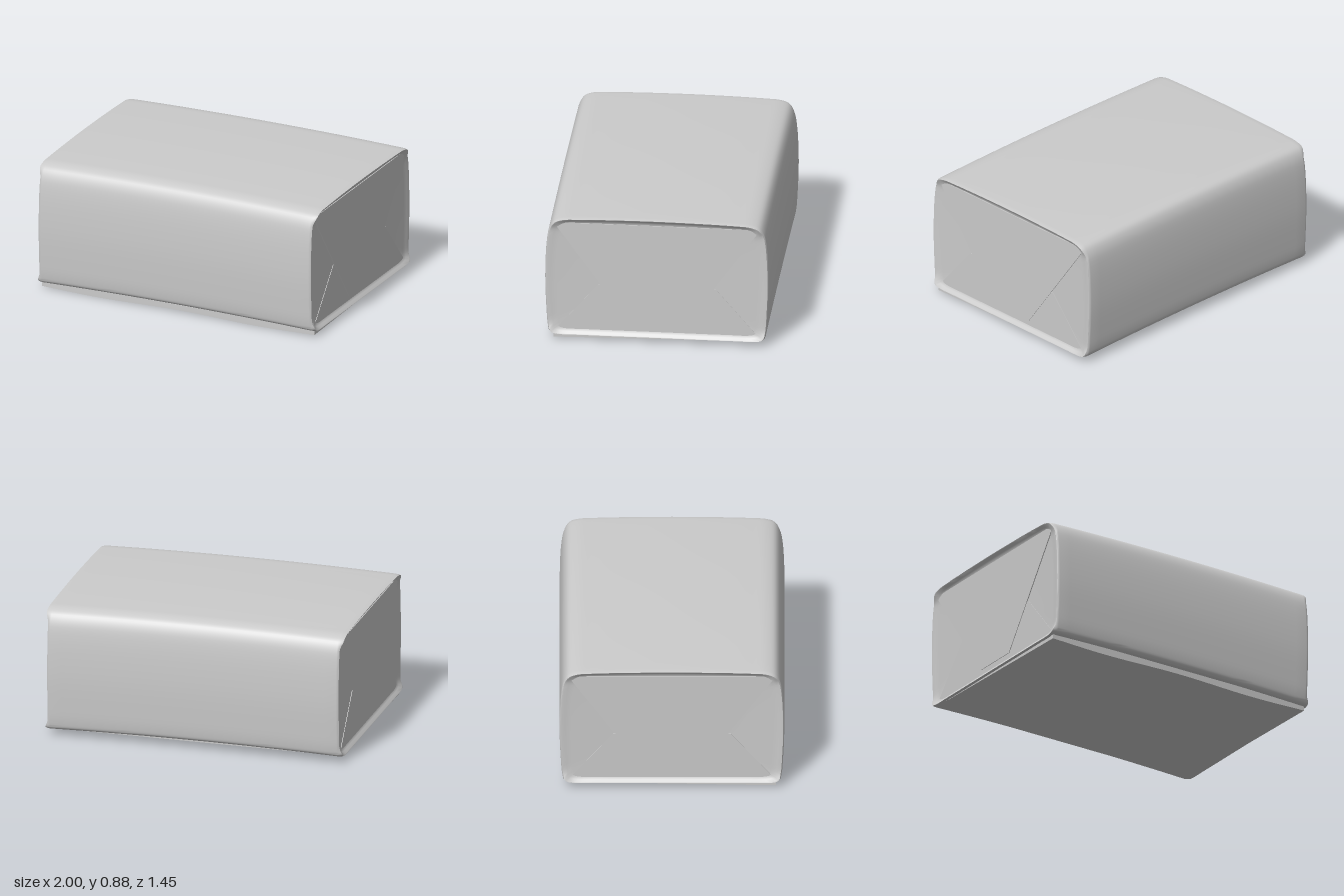
import * as THREE from 'three';
import { toCreasedNormals } from 'three/addons/utils/BufferGeometryUtils.js';

const material = new THREE.MeshStandardMaterial({ color: 0xcccccc });
const MID = 0.44; // height of the parcel's axis

// Half cross-section as (z, y), from top centre over the front to bottom centre
const HALF = [
  [0, 0.866], [0.3, 0.863], [0.52, 0.857], [0.61, 0.851], [0.665, 0.831], [0.695, 0.785], [0.713, 0.7],
  [0.725, 0.44], [0.718, 0.22], [0.708, 0.09], [0.697, 0.052], [0.665, 0.037], [0.5, 0.034], [0, 0.034],
];

function sectionPoints() {
  const back = HALF.slice(1, -1).reverse().map(([z, y]) => [-z, y]);
  const pts = [...HALF, ...back].map(([z, y]) => new THREE.Vector3(z, y, 0));
  return new THREE.CatmullRomCurve3(pts, true, 'centripetal').getPoints(pts.length * 4);
}

// Wrapped block: the section swept along x, raised in the middle, with lipped ends
function bodyGeometry() {
  const section = sectionPoints();
  const n = section.length;
  // [scale, x, how much of the lip applies]
  const end = [[1, 0.962, 0], [0.998, 0.972, 0.5], [0.99, 0.979, 1], [0.978, 0.979, 0.9],
    [0.95, 0.974, 0.3], [0.9, 0.97, 0], [0, 0.97, 0]];
  const rings = [];
  for (let i = end.length - 1; i >= 0; i--) rings.push([end[i][0], -end[i][1], end[i][2]]);
  for (let i = 1; i < 24; i++) rings.push([1, -0.962 + (1.924 * i) / 24, 0]);
  rings.push(...end);

  const position = [];
  const index = [];
  rings.forEach(([s, x, lip], r) => {
    section.forEach((p, i) => {
      const flare = 0.02 * lip * THREE.MathUtils.smoothstep(Math.abs(p.y - MID), 0.33, 0.4);
      const y = MID + (p.y - MID) * s + 0.015 * (1 - x * x);
      position.push(x + Math.sign(x) * flare, y, p.x * s);
      if (r < rings.length - 1 && i < n - 1) {
        const a = r * n + i;
        const b = a + n;
        index.push(a, a + 1, b, a + 1, b + 1, b);
      }
    });
  });
  const g = new THREE.BufferGeometry();
  g.setAttribute('position', new THREE.Float32BufferAttribute(position, 3));
  g.setIndex(index);
  return toCreasedNormals(g, 0.7);
}

// Overlapping sheet underneath: thick at its front edge, thinning to the back
function undersideGeometry() {
  const g = new THREE.BoxGeometry(1.96, 1, 1.32, 32, 1, 8);
  const p = g.attributes.position;
  for (let i = 0; i < p.count; i++) {
    const x = p.getX(i);
    const z = p.getZ(i) + 0.01;
    const front = (z + 0.65) / 1.32;
    const wave = 0.006 * Math.cos((Math.PI * 2 * x) / 1.15);
    const bottom = THREE.MathUtils.lerp(0.036, 0.007 + wave, front);
    p.setXYZ(i, x, p.getY(i) > 0 ? 0.05 : bottom, z);
  }
  return toCreasedNormals(g, 0.7);
}

// Thin folded paper panel lying on an end face
function flapGeometry(corners) {
  const shape = new THREE.Shape(corners.map(([z, y]) => new THREE.Vector2(z, y)));
  return new THREE.ExtrudeGeometry(shape, { depth: 0.006, bevelEnabled: false });
}

export function createModel() {
  const group = new THREE.Group();
  const add = (name, geometry, parent = group) => {
    const mesh = new THREE.Mesh(geometry, material);
    mesh.name = name;
    parent.add(mesh);
    return mesh;
  };

  add('wrappedBody', bodyGeometry());
  add('undersideFlap', undersideGeometry());

  // Folded ends: the lower flap lies beneath the upper one
  const lower = flapGeometry([[-0.665, 0.055], [0.665, 0.055], [0.38, 0.39], [-0.38, 0.39]]);
  const upper = flapGeometry([[-0.16, 0.105], [0.16, 0.105], [0.67, 0.82], [-0.67, 0.82]]);
  for (const side of [1, -1]) {
    const fold = new THREE.Group();
    fold.name = side > 0 ? 'leftEndFold' : 'rightEndFold';
    fold.rotation.y = (side * Math.PI) / 2;
    add('lowerFlap', lower, fold).position.z = 0.967;
    add('upperFlap', upper, fold).position.z = 0.971;
    group.add(fold);
  }
  return group;
}
